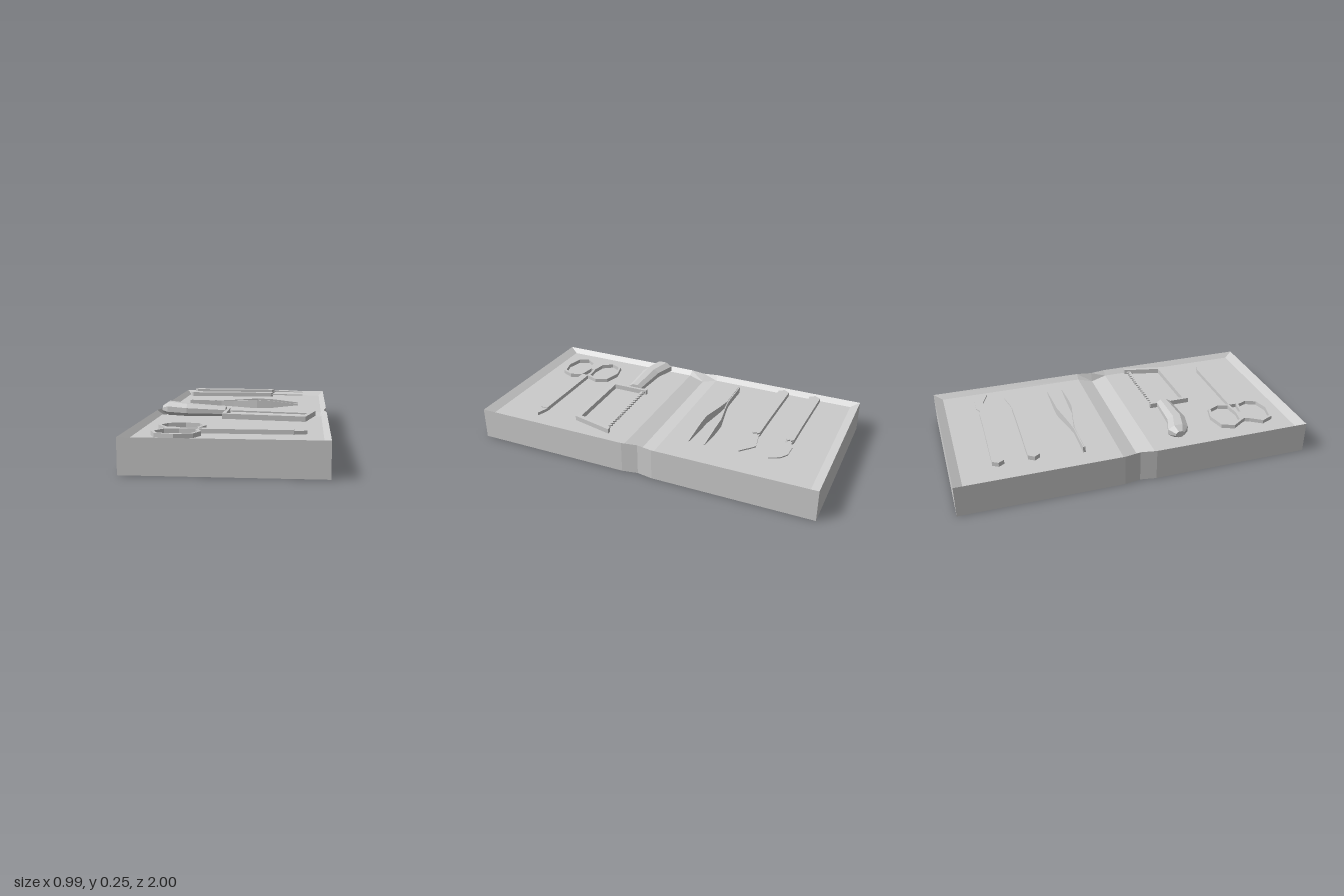
import * as THREE from 'three';

const material = new THREE.MeshStandardMaterial({ color: 0xcccccc, flatShading: true, side: THREE.DoubleSide });

function addMesh(parent, name, geometry) {
  const mesh = new THREE.Mesh(geometry, material);
  mesh.name = name;
  parent.add(mesh);
  return mesh;
}

function addGroup(parent, name) {
  const group = new THREE.Group();
  group.name = name;
  parent.add(group);
  return group;
}

// Joins equal loops of [x, y, z]; each runs counterclockwise seen from the last one
function loft(sections) {
  const out = [];
  const tri = (...corners) => corners.forEach(c => out.push(...c));
  const n = sections[0].length;
  for (let k = 0; k < sections.length - 1; k++) {
    for (let j = 0; j < n; j++) {
      const a = sections[k][j], b = sections[k][(j + 1) % n];
      const c = sections[k + 1][(j + 1) % n], d = sections[k + 1][j];
      tri(a, b, c);
      tri(a, c, d);
    }
  }
  const first = sections[0], last = sections[sections.length - 1];
  for (let j = 1; j < n - 1; j++) {
    tri(first[0], first[j + 1], first[j]);
    tri(last[0], last[j], last[j + 1]);
  }
  const geometry = new THREE.BufferGeometry();
  geometry.setAttribute('position', new THREE.Float32BufferAttribute(out, 3));
  geometry.computeVertexNormals();
  return geometry;
}

// Flat plate from [x, z] outlines, between two heights
function plate(outline, bottom, top, holes = []) {
  const points = list => list.map(([x, z]) => new THREE.Vector2(x, -z));
  const shape = new THREE.Shape(points(outline));
  holes.forEach(h => shape.holes.push(new THREE.Path(points(h))));
  return new THREE.ExtrudeGeometry(shape, { depth: top - bottom, bevelEnabled: false })
    .rotateX(-Math.PI / 2).translate(0, bottom, 0);
}

export function createModel() {
  const model = new THREE.Group();
  model.name = 'surgicalToolKit';

  // Case: shallow recess, sloped rim and a pinched fold across the middle
  const rim = 0.18, floor = 0.155;
  const caseSections = [
    [-1, 0.495, 0.495, rim], [-0.95, 0.495, 0.465, floor],
    [-0.09, 0.495, 0.465, floor], [0, 0.48, 0.46, 0.13], [0.09, 0.495, 0.465, floor],
    [0.95, 0.495, 0.465, floor], [1, 0.495, 0.495, rim],
  ].map(([z, outer, inner, y]) => [
    [-outer, 0, z], [outer, 0, z], [outer, rim, z], [inner, y, z], [-inner, y, z], [-outer, rim, z],
  ]);
  addMesh(model, 'case', loft(caseSections));

  // Two scalpels with different blades
  const blades = [
    [[0.14, -0.02], [0.165, -0.012], [0.2, -0.03], [0.28, -0.027], [0.32, 0], [0.35, 0.058],
      [0.26, 0.02], [0.165, 0.015], [0.14, 0.02]],
    [[0.14, -0.02], [0.165, -0.02], [0.27, -0.04], [0.29, -0.025], [0.35, 0.03],
      [0.24, 0.025], [0.165, 0.02], [0.14, 0.02]],
  ];
  [-0.75, -0.56].forEach((z, i) => {
    const scalpel = addGroup(model, 'scalpel');
    addMesh(scalpel, 'scalpelHandle', plate([
      [-0.4, 0], [-0.38, -0.032], [0, -0.022], [0.14, -0.02], [0.155, -0.008], [0.145, 0], [0.155, 0.012],
      [0.14, 0.025], [0, 0.027], [-0.38, 0.032],
    ], 0.192, 0.217));
    addMesh(scalpel, 'scalpelBlade', plate(blades[i], 0.202, 0.209));
    scalpel.position.z = z;
  });

  // Tweezers: two upright springy strips mirrored about their middle line
  const tweezers = addGroup(model, 'tweezers');
  [-1, 1].forEach(side => {
    const t = 0.003;
    const sections = [
      [-0.36, 0.004, 0.018], [-0.16, 0.004, 0.016], [-0.08, 0.016, 0.019],
      [0.07, 0.045, 0.026], [0.16, 0.046, 0.022], [0.325, 0.046, 0.003],
    ].map(([x, offset, half]) => {
      const z = -0.28 + side * offset, y = 0.179;
      return [[x, y - half, z - t], [x, y + half, z - t], [x, y + half, z + t], [x, y - half, z + t]];
    });
    addMesh(tweezers, 'tweezerArm', loft(sections));
  });

  // Saw handle: eight-sided grip, bent and thicker at its end
  const saw = addGroup(model, 'saw');
  const grip = [
    [-0.425, 0.25, 0.025, 0.213, 0.018], [-0.39, 0.25, 0.058, 0.217, 0.037],
    [-0.28, 0.283, 0.052, 0.213, 0.034], [-0.065, 0.287, 0.04, 0.207, 0.026],
  ].map(([x, z, rz, y, ry]) => Array.from({ length: 8 }, (_, i) => {
    const a = (i + 0.5) * Math.PI / 4, c = 1 / Math.cos(Math.PI / 8);
    return [x, y + ry * c * Math.sin(a), z - rz * c * Math.cos(a)];
  }));
  addMesh(saw, 'sawHandle', loft(grip));

  // Saw frame and toothed blade, dipping slightly towards the tip
  const frame = addGroup(saw, 'sawFrameAssembly');
  addMesh(frame, 'sawFrame', plate(
    [[-0.07, 0.205], [-0.05, 0.205], [-0.05, 0.415], [0.357, 0.415], [0.408, 0.205], [0.43, 0.205],
      [0.375, 0.445], [-0.07, 0.445]], -0.014, 0.014));
  const teeth = [[-0.055, 0.24]];
  const count = 18, pitch = 0.465 / count;
  for (let i = 0; i < count; i++) {
    const x = -0.055 + i * pitch;
    teeth.push([x + pitch * 0.1, 0.212], [x + pitch, 0.23]);
  }
  teeth.push([0.405, 0.24]);
  addMesh(frame, 'sawBlade', plate(teeth, -0.004, 0.004));
  frame.position.y = 0.2;
  frame.rotation.z = -0.024;

  // Scissors: mirrored finger loops and blades about their middle line
  const scissors = addGroup(model, 'scissors');
  const ring = [[-0.38, -0.09], [-0.35, -0.16], [-0.25, -0.185], [-0.16, -0.16],
    [-0.13, -0.09], [-0.155, -0.022], [-0.25, -0.008], [-0.335, -0.022]];
  const hole = ring.map(([x, z]) => [-0.255 + (x + 0.255) * 0.87, -0.095 + (z + 0.095) * 0.83]);
  [-1, 1].forEach(side => {
    const flip = list => list.map(([x, z]) => [x, -side * z]);
    addMesh(scissors, 'fingerLoop', plate(flip(ring), 0.145, 0.178, [flip(hole)]));
    addMesh(scissors, 'scissorBlade', plate(
      flip([[-0.16, -0.022], [0.32, -0.022], [0.32, 0], [-0.16, 0]]), 0.147, 0.178));
  });
  addMesh(scissors, 'scissorTip', plate([[0.32, -0.022], [0.385, 0], [0.32, 0.022]], 0.15, 0.173));
  addMesh(scissors, 'loopBridge', plate(
    [[-0.335, -0.022], [-0.25, -0.008], [-0.25, 0.008], [-0.335, 0.022], [-0.325, 0]], 0.145, 0.178));
  scissors.position.z = 0.697;

  return model;
}
